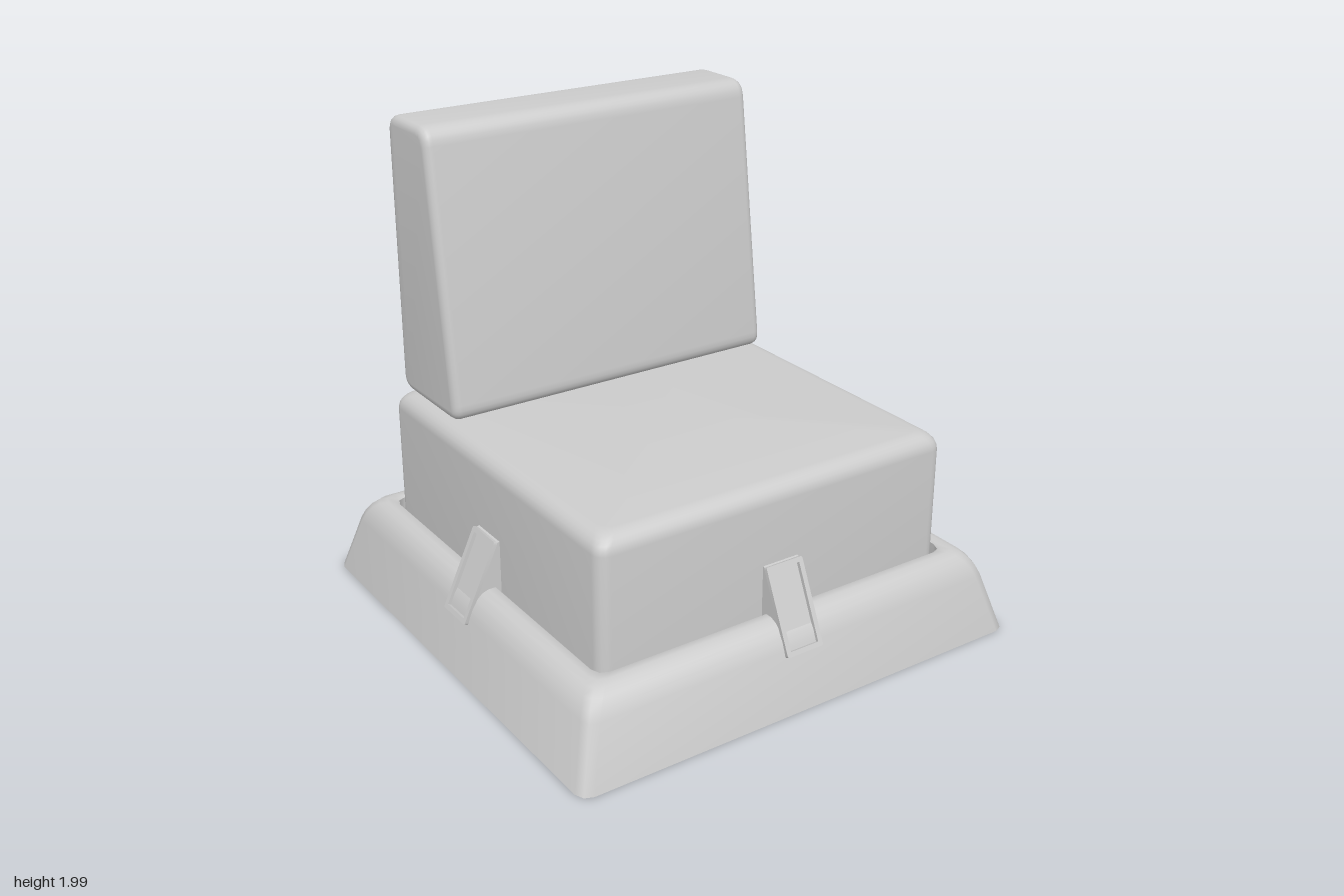
import * as THREE from 'three';
import { toCreasedNormals } from 'three/addons/utils/BufferGeometryUtils.js';

const material = new THREE.MeshStandardMaterial({ color: 0xcccccc });

function part(name, geometry, crease = 0.7) {
  const mesh = new THREE.Mesh(toCreasedNormals(geometry, crease), material);
  mesh.name = name;
  return mesh;
}

// Solid from stacked rounded squares; each level is [half size, y, corner radius]
function stackedSquares(levels, cornerSegments) {
  const positions = [], index = [];
  const n = 4 * (cornerSegments + 1);
  for (const [half, y, r] of levels) {
    for (let q = 0; q < 4; q++) {
      const mid = (q + 0.5) * Math.PI / 2;
      for (let s = 0; s <= cornerSegments; s++) {
        const a = (q + s / cornerSegments) * Math.PI / 2;
        positions.push(
          Math.sign(Math.cos(mid)) * (half - r) + r * Math.cos(a), y,
          Math.sign(Math.sin(mid)) * (half - r) + r * Math.sin(a));
      }
    }
  }
  for (let l = 0; l < levels.length - 1; l++) {
    for (let i = 0; i < n; i++) {
      const a = l * n + i, b = l * n + (i + 1) % n;
      if (levels[l][0] > 0) index.push(a, a + n, b);
      if (levels[l + 1][0] > 0) index.push(b, a + n, b + n);
    }
  }
  const g = new THREE.BufferGeometry();
  g.setAttribute('position', new THREE.Float32BufferAttribute(positions, 3));
  g.setIndex(index);
  return g;
}

// Polygon with every corner rounded by radius r
function roundedPolygon(points, r) {
  const shape = new THREE.Shape();
  const pts = points.map(p => new THREE.Vector2(...p));
  pts.forEach((p, i) => {
    const prev = pts[(i + pts.length - 1) % pts.length], next = pts[(i + 1) % pts.length];
    const start = p.clone().add(prev.clone().sub(p).setLength(r));
    const end = p.clone().add(next.clone().sub(p).setLength(r));
    if (i) shape.lineTo(start.x, start.y); else shape.moveTo(start.x, start.y);
    shape.quadraticCurveTo(p.x, p.y, end.x, end.y);
  });
  shape.closePath();
  return shape;
}

// Extrudes a (z, y) profile across x, centred on x = 0
function extrudeAcross(shape, width, bevel = 0) {
  const g = new THREE.ExtrudeGeometry(shape, {
    depth: width - 2 * bevel, curveSegments: 6, bevelEnabled: bevel > 0,
    bevelSize: bevel, bevelThickness: bevel, bevelOffset: -bevel, bevelSegments: 4,
  });
  g.translate(0, 0, -(width - 2 * bevel) / 2);
  g.rotateY(-Math.PI / 2);
  return g;
}

// Thin rectangular rim facing +z
function rimGeometry(w, h, border, depth) {
  const shape = roundedPolygon([[-w / 2, -h / 2], [w / 2, -h / 2], [w / 2, h / 2], [-w / 2, h / 2]], 0.008);
  const x = w / 2 - border, y = h / 2 - border;
  shape.holes.push(new THREE.Path([[-x, -y], [-x, y], [x, y], [x, -y]].map(p => new THREE.Vector2(...p))));
  return new THREE.ExtrudeGeometry(shape, { depth, bevelEnabled: false, curveSegments: 3 });
}

// Sloping bracket joining the seat to the base, built on the +z side
function createBracket() {
  const bracket = new THREE.Group();
  bracket.name = 'baseBracket';
  const profile = new THREE.Shape([[0.78, 0.25], [0.92, 0.21], [0.94, 0.212], [0.798, 0.522], [0.78, 0.525]]
    .map(p => new THREE.Vector2(...p)));
  bracket.add(part('bracketWedge', extrudeAcross(profile, 0.16)));
  const rim = part('bracketRim', rimGeometry(0.166, 0.343, 0.019, 0.016));
  rim.position.set(0, 0.367, 0.869);
  rim.rotation.x = -Math.atan2(0.142, 0.31);
  bracket.add(rim);
  return bracket;
}

export function createModel() {
  const model = new THREE.Group();
  model.name = 'seatOnBase';

  // Flared base tray with a rounded rim and a sunken floor
  model.add(part('base', stackedSquares([
    [0, 0, 0], [1, 0, 0.05], [0.932, 0.235, 0.05], [0.917, 0.272, 0.05], [0.896, 0.304, 0.05],
    [0.872, 0.326, 0.05], [0.845, 0.336, 0.05], [0.815, 0.336, 0.05],
    [0.808, 0.33, 0.05], [0.808, 0.12, 0.05], [0, 0.12, 0],
  ], 2), 0.85));

  // Seat cushion with softly rounded top edges
  const seatLevels = [[0, 0.12, 0], [0.788, 0.12, 0.05]];
  for (let i = 0; i <= 6; i++) {
    const a = i / 6 * Math.PI / 2;
    seatLevels.push([0.718 + 0.07 * Math.cos(a), 0.77 + 0.07 * Math.sin(a), 0.05]);
  }
  seatLevels.push([0, 0.84, 0]);
  model.add(part('seat', stackedSquares(seatLevels, 4)));

  // Tapered backrest
  const backProfile = roundedPolygon([[-0.783, 0.846], [-0.313, 0.846], [-0.467, 1.99], [-0.783, 1.99]], 0.07);
  model.add(part('backrest', extrudeAcross(backProfile, 1.49, 0.035)));

  // One bracket in the middle of each side
  for (let i = 0; i < 4; i++) {
    const bracket = createBracket();
    bracket.rotation.y = i * Math.PI / 2;
    model.add(bracket);
  }

  // Two flat clips holding the backrest to the seat
  for (const side of [-1, 1]) {
    const clip = new THREE.Group();
    clip.name = 'backClip';
    const plate = part('clipPlate', new THREE.BoxGeometry(0.156, 0.276, 0.014));
    plate.position.z = 0.007;
    const rim = part('clipRim', rimGeometry(0.162, 0.282, 0.019, 0.025));
    clip.add(plate, rim);
    clip.position.set(side * 0.387, 0.86, -0.779);
    clip.rotation.y = Math.PI;
    model.add(clip);
  }
  return model;
}
